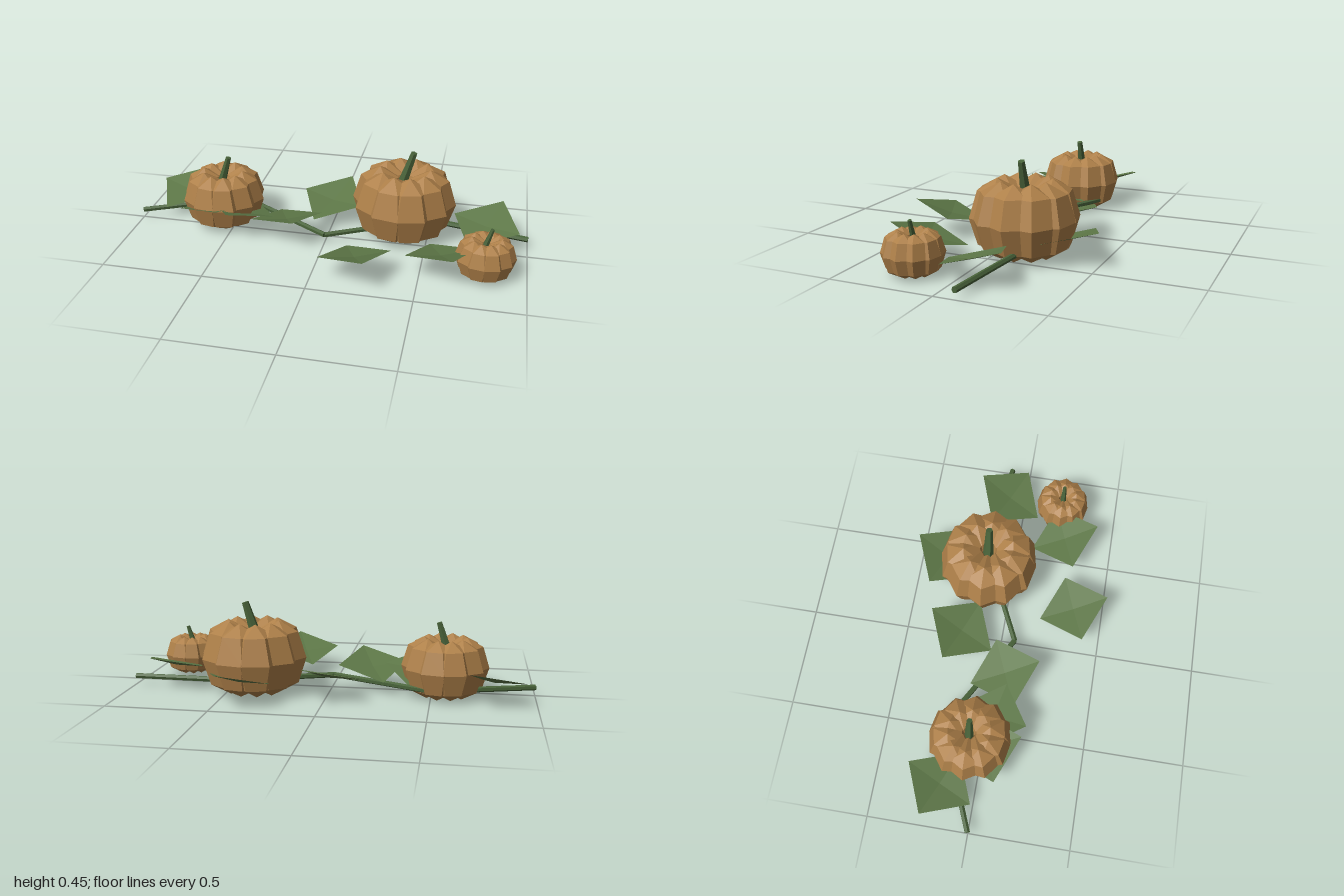
import * as THREE from 'three';

const mat = (name, color, extra = {}) => {
  const m = new THREE.MeshStandardMaterial({ color, flatShading: true, ...extra });
  m.name = name;
  return m;
};

export function createModel() {
  const rind = mat('pumpkin rind', 0xae8049);
  const stemGreen = mat('stem green', 0x49633a);
  const leafGreen = mat('leaf green', 0x5d7747, { side: THREE.DoubleSide });
  const model = new THREE.Group();
  model.name = 'pumpkinPatch';

  const add = (parent, name, geometry, material) => {
    const mesh = new THREE.Mesh(geometry, material);
    mesh.name = name;
    parent.add(mesh);
    return mesh;
  };

  // Pumpkin: a ring of faceted lobes and a leaning, tapered stem
  const lobeGeo = new THREE.SphereGeometry(1, 6, 4);
  const stemGeo = new THREE.CylinderGeometry(0.017, 0.027, 0.17, 6);
  function pumpkin(name, x, z, s) {
    const g = new THREE.Group();
    g.name = name;
    for (let i = 0; i < 10; i++) {
      const a = (i / 10) * Math.PI * 2;
      const lobe = add(g, 'lobe', lobeGeo, rind);
      lobe.scale.set(0.136, 0.18, 0.136);
      lobe.position.set(Math.cos(a) * 0.126, 0.18, Math.sin(a) * 0.126);
      lobe.rotation.y = a;
    }
    const stem = add(g, 'stem', stemGeo, stemGreen);
    stem.position.set(0.015, 0.365, 0);
    stem.rotation.z = -0.3;
    g.position.set(x, 0, z);
    g.scale.setScalar(s);
    model.add(g);
  }
  pumpkin('largePumpkin', 0.37, -0.128, 1);
  pumpkin('mediumPumpkin', -0.563, -0.062, 0.81);
  pumpkin('smallPumpkin', 0.8, 0.205, 0.55);

  // Vine: straight runs between kinks on the ground
  const vine = new THREE.Group();
  vine.name = 'vine';
  model.add(vine);
  const kinks = [[-1, 0.042, 0], [-0.5, 0.06, -0.21], [0, 0.045, 0.07], [0.5, 0.06, -0.17], [1, 0.042, -0.1]]
    .map((p) => new THREE.Vector3(...p));
  for (let i = 0; i < kinks.length - 1; i++) {
    const dir = kinks[i + 1].clone().sub(kinks[i]);
    const run = add(vine, 'vineRun', new THREE.CylinderGeometry(0.014, 0.014, dir.length(), 6), stemGreen);
    run.position.copy(kinks[i]).addScaledVector(dir, 0.5);
    run.quaternion.setFromUnitVectors(new THREE.Vector3(0, 1, 0), dir.normalize());
  }

  // Leaf: a tilted, slightly cupped square; (hx, hz) points to its raised corner
  function leaf(cx, cz, hx, hz) {
    const corners = [[hx, 0.172, hz], [hz, 0.12, -hx], [-hx, 0.065, -hz], [-hz, 0.12, hx]];
    const pos = [0, 0.103, 0, ...corners.flat()];
    const geo = new THREE.BufferGeometry();
    geo.setAttribute('position', new THREE.Float32BufferAttribute(pos, 3));
    geo.setIndex([0, 1, 2, 0, 2, 3, 0, 3, 4, 0, 4, 1]);
    geo.computeVertexNormals();
    add(model, 'leaf', geo, leafGreen).position.set(cx, 0, cz);
  }
  [
    [-0.8, -0.17, 0.07, -0.16], [-0.59, 0.02, 0.065, 0.165], [-0.43, 0.03, -0.04, 0.17],
    [-0.2, 0.05, 0.07, 0.165], [-0.01, -0.205, 0.07, -0.165], [0.2, 0.345, 0.065, 0.163],
    [0.595, 0.245, 0.065, 0.163], [0.39, -0.35, 0.07, -0.165], [0.79, -0.08, 0.075, -0.163],
  ].forEach((l) => leaf(...l));

  return model;
}
